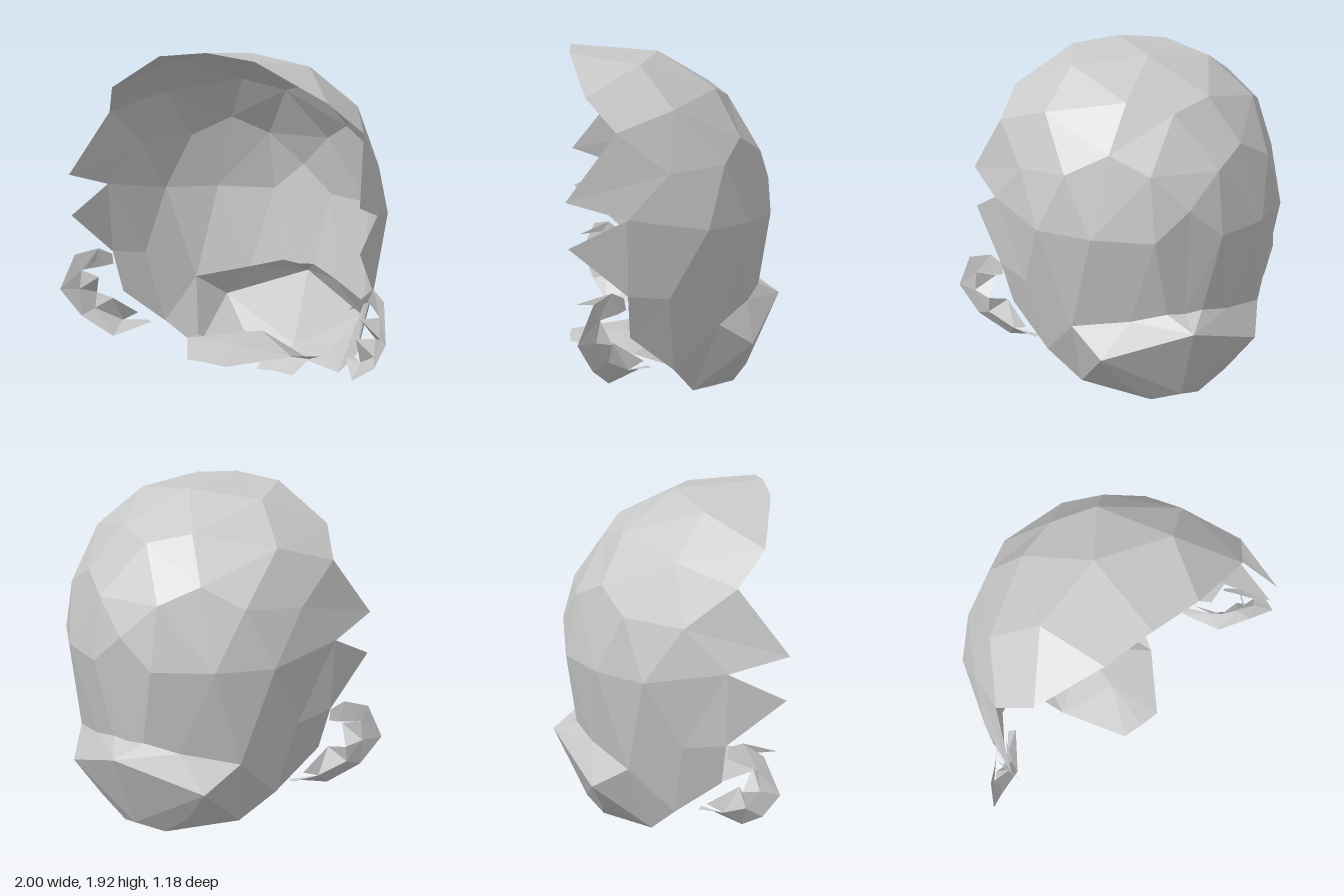
import * as THREE from 'three';

const grey = new THREE.MeshStandardMaterial({ color: 0xc8c8c8, flatShading: true, side: THREE.DoubleSide });
grey.name = 'plain grey';

const dist = (a, b) => Math.hypot(a[0] - b[0], a[1] - b[1], a[2] - b[2]);

// Zip two neighbouring cross-sections together, always taking the shorter diagonal.
function stitch(a, b) {
  const tris = [];
  let i = 0, j = 0;
  while (i < a.length - 1 || j < b.length - 1) {
    const alongA = j === b.length - 1 ||
      (i < a.length - 1 && dist(a[i + 1], b[j]) <= dist(a[i], b[j + 1]));
    const t = alongA ? [a[i], a[i + 1], b[j]] : [a[i], b[j + 1], b[j]];
    if (alongA) i++; else j++;
    if (dist(t[0], t[1]) && dist(t[1], t[2]) && dist(t[0], t[2])) tris.push(t);
  }
  return tris;
}

const loft = (rows) => rows.slice(1).flatMap((row, k) => stitch(rows[k], row));

// Mirror across x, reversing corner order so faces keep pointing outward.
const mirror = (tris) => tris.map((t) => [t[0], t[2], t[1]].map(([x, y, z]) => [-x, y, z]));

function facets(name, tris) {
  const g = new THREE.BufferGeometry();
  g.setAttribute('position', new THREE.Float32BufferAttribute(tris.flat(2), 3));
  g.computeVertexNormals();
  const mesh = new THREE.Mesh(g, grey);
  mesh.name = name;
  return mesh;
}

export function createModel() {
  const model = new THREE.Group();
  model.name = 'openHeadShell';
  const both = (name, tris) => model.add(facets(name, [...tris, ...mirror(tris)]));

  // Shared corners along the side of the head
  const notch = [0.83, 1.12, 0.28];
  const temple = [0.64, 1.70, 0.48];
  const earTop = [0.81, 0.73, 0.28];
  const cheek = [0.73, 0.69, 0.07];
  const neckCorner = [0.55, 0.50, -0.20];
  const jaw = [0.46, 0.11, -0.07];

  // Cranium: cross-sections run from the back centre line to the jagged front edge
  const nape = [[0, 0.59, -0.46], [0.1, 0.6, -0.46], [0.28, 0.555, -0.38], neckCorner];
  const cranium = loft([
    [[0, 1.92, 0.56], [0.28, 1.89, 0.56], temple],
    [[0, 1.88, 0.09], [0.4, 1.84, 0.2], temple],
    [[0, 1.64, -0.29], [0.23, 1.7, -0.2], [0.6, 1.63, 0.04], [0.77, 1.54, 0.33]],
    [[0, 1.36, -0.45], [0.19, 1.36, -0.45], [0.37, 1.46, -0.32], [0.58, 1.35, -0.22],
      [0.74, 1.33, 0.07], [0.87, 1.22, 0.58]],
    [[0, 1.18, -0.52], [0.19, 1.02, -0.51], [0.49, 1.03, -0.36], [0.71, 1.04, -0.13], notch],
    [...nape, cheek, earTop],
  ]);
  cranium.push([notch, [0.87, 0.99, 0.57], earTop]);
  both('cranium', cranium);

  // Ledge where the neck roll steps out from the back of the head
  const roll = [[0, 0.52, -0.59], [0.45, 0.36, -0.39], neckCorner];
  both('neckLedge', stitch(nape, roll));

  // Neck roll and jaw, down to the open lower rim
  const base = [[0, 0.1, -0.41], [0.3, 0.17, -0.33], jaw];
  both('neckRoll', [
    ...stitch([...roll, cheek, earTop], [...base, [0.62, 0.28, 0.04], [0.75, 0.5, 0.27]]),
    ...stitch(base, [[0, 0.06, -0.32], [0.14, 0.05, -0.32], jaw]),
  ]);

  // Small flap under the neck
  both('neckFlap', stitch(
    [[0, 0.1, -0.31], [0.14, 0.05, -0.32]],
    [[0, 0.01, -0.17], [0.12, 0.0, -0.17]],
  ));

  // Loose plate under the chin
  both('chinPlate', loft([
    [[0, 0.295, 0.59], [0.12, 0.29, 0.585]],
    [[0, 0.315, 0.3], [0.33, 0.28, 0.25]],
    [[0, 0.3, -0.02], [0.25, 0.14, -0.12], [0.4, 0.23, 0.04]],
  ]));

  // Ear: folded outer rim, then the bowl in its lower half
  const bowlEdge = [[0.92, 0.64, 0.43], [0.93, 0.53, 0.44], [0.87, 0.41, 0.38], [0.75, 0.33, 0.28]];
  both('ear', [
    ...stitch(
      [[0.8, 0.72, 0.3], [0.85, 0.76, 0.36], [0.95, 0.73, 0.45], [1.0, 0.54, 0.53],
        [0.91, 0.38, 0.46], [0.75, 0.26, 0.38], [0.62, 0.31, 0.18]],
      [[0.8, 0.66, 0.29], [0.84, 0.65, 0.33], ...bowlEdge, [0.66, 0.31, 0.16]],
    ),
    ...stitch(bowlEdge, [[0.81, 0.61, 0.42], [0.87, 0.5, 0.36], [0.76, 0.48, 0.36], [0.7, 0.36, 0.2]]),
    [[0.85, 0.76, 0.36], [0.84, 0.7, 0.4], [0.8, 0.69, 0.54]],
  ]);

  return model;
}
